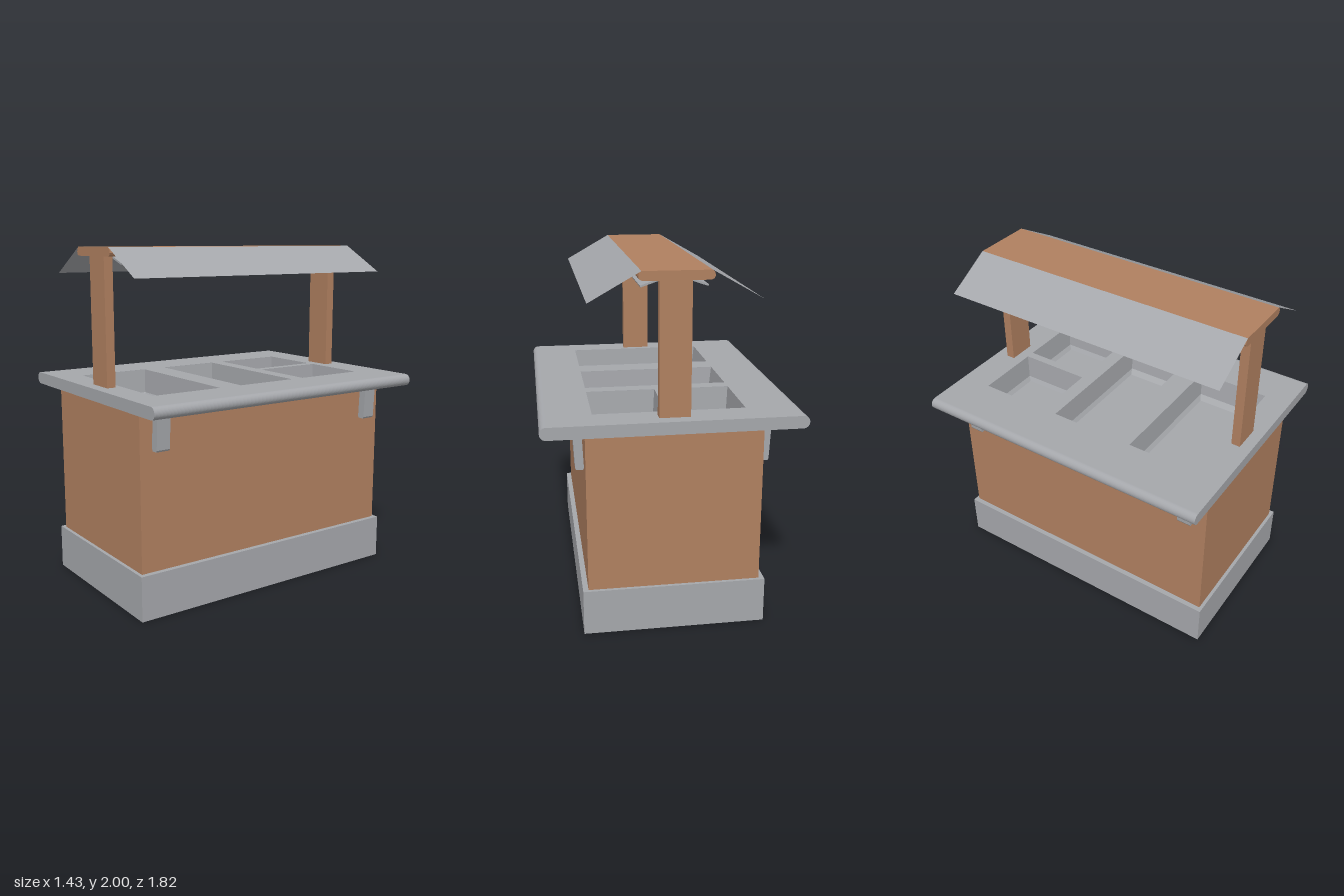
import * as THREE from 'three';

export function createModel() {
  const model = new THREE.Group();
  const wood = new THREE.MeshStandardMaterial({ color: 0xb08060 });
  wood.name = 'wood';
  const steel = new THREE.MeshStandardMaterial({ color: 0xa5a7ab, side: THREE.DoubleSide });
  steel.name = 'steel';

  const add = (name, geometry, material, x = 0, y = 0, z = 0) => {
    const mesh = new THREE.Mesh(geometry, material);
    mesh.name = name;
    mesh.position.set(x, y, z);
    model.add(mesh);
    return mesh;
  };
  // Extrudes an x-y outline along z, centred on z = 0
  const prism = (points, length) => {
    const shape = new THREE.Shape(points.map(([x, y]) => new THREE.Vector2(x, y)));
    return new THREE.ExtrudeGeometry(shape, { depth: length, bevelEnabled: false }).translate(0, 0, -length / 2);
  };

  // Plinth with a wooden underside
  add('plinth', new THREE.BoxGeometry(1.02, 0.26, 1.77), [steel, steel, steel, wood, steel, steel], 0, 0.13, 0);

  // Cabinet, left open at the top for the food wells
  const cabinet = new THREE.BoxGeometry(0.96, 0.905, 1.73);
  const faces = Array.from(cabinet.index.array);
  faces.splice(12, 6);
  cabinet.setIndex(faces);
  cabinet.clearGroups();
  add('cabinet', cabinet, wood, 0, 0.7025, 0);

  // Food wells as [x0, x1, z0, z1]
  const wells = [
    [-0.41, 0.43, 0.315, 0.75],
    [-0.41, 0.43, -0.205, 0.17],
    [-0.41, -0.02, -0.72, -0.29],
    [0.03, 0.43, -0.72, -0.29],
  ];

  // Counter slab with an opening for each well
  const slab = new THREE.Shape();
  slab.moveTo(-0.68, -0.91).lineTo(0.68, -0.91).lineTo(0.68, 0.91).lineTo(-0.68, 0.91).closePath();
  for (const [x0, x1, z0, z1] of wells) {
    const hole = new THREE.Path();
    hole.moveTo(x0, -z0).lineTo(x0, -z1).lineTo(x1, -z1).lineTo(x1, -z0).closePath();
    slab.holes.push(hole);
  }
  const slabGeometry = new THREE.ExtrudeGeometry(slab, { depth: 0.07, bevelEnabled: false }).rotateX(-Math.PI / 2);
  add('counter', slabGeometry, steel, 0, 1.155, 0);

  // Four-sided pans with a sloped edge around the floor
  const panProfile = [[1, 1.224], [0.96, 1.08], [0.88, 1.055], [0, 1.055]]
    .map(([r, y]) => new THREE.Vector2(r * Math.SQRT1_2, y));
  for (const [x0, x1, z0, z1] of wells) {
    const pan = new THREE.LatheGeometry(panProfile, 4, Math.PI / 4)
      .scale(x1 - x0, 1, z1 - z0).toNonIndexed();
    pan.computeVertexNormals();
    add('foodWell', pan, steel, (x0 + x1) / 2, 0, (z0 + z1) / 2);
  }

  // Rounded long edges of the counter
  const edge = new THREE.Shape();
  edge.absarc(0, 0, 0.035, -Math.PI / 2, Math.PI / 2, false);
  for (const side of [-1, 1]) {
    const g = new THREE.ExtrudeGeometry(edge, { depth: 1.82, bevelEnabled: false, curveSegments: 10 }).translate(0, 0, -0.91);
    const rail = add('counterEdge', g, steel, side * 0.68, 1.19, 0);
    if (side < 0) rail.rotation.y = Math.PI;
  }

  // Support brackets under the overhang
  const bracket = [[0.483, 0.95], [0.488, 0.94], [0.524, 0.94], [0.53, 0.95], [0.54, 1.156], [0.492, 1.156]];
  for (const side of [-1, 1]) {
    for (const z of [-0.75, 0.75]) {
      const mesh = add('bracket', prism(bracket, 0.082), steel, 0, 0, z);
      if (side < 0) mesh.rotation.y = Math.PI;
    }
  }

  // End posts
  for (const z of [-0.81, 0.815]) {
    add('post', new THREE.BoxGeometry(0.17, 0.73, 0.053), wood, 0, 1.588, z);
  }

  // Canopy beam with softened edges
  const half = [[0.175, 1.95], [0.19, 1.957], [0.196, 1.97], [0.193, 1.988], [0.18, 2]];
  const beam = [...half, ...half.map(([x, y]) => [-x, y]).reverse()];
  add('canopyBeam', prism(beam, 1.725), wood);

  // Sloped guard panels on both sides
  for (const side of [-1, 1]) {
    const panel = new THREE.PlaneGeometry(Math.hypot(0.275, 0.155), 1.725).rotateX(-Math.PI / 2);
    const mesh = add('guardPanel', panel, steel, side * 0.3175, 1.9225, 0);
    mesh.rotation.z = -side * Math.atan2(0.155, 0.275);
  }

  // Folded lamp reflector beneath the beam
  const reflector = [
    [-0.175, 1.906], [-0.08, 1.938], [0.08, 1.938], [0.175, 1.906],
    [0.178, 1.915], [0.082, 1.949], [-0.082, 1.949], [-0.178, 1.915],
  ];
  add('lampReflector', prism(reflector, 1.57), steel);

  return model;
}
